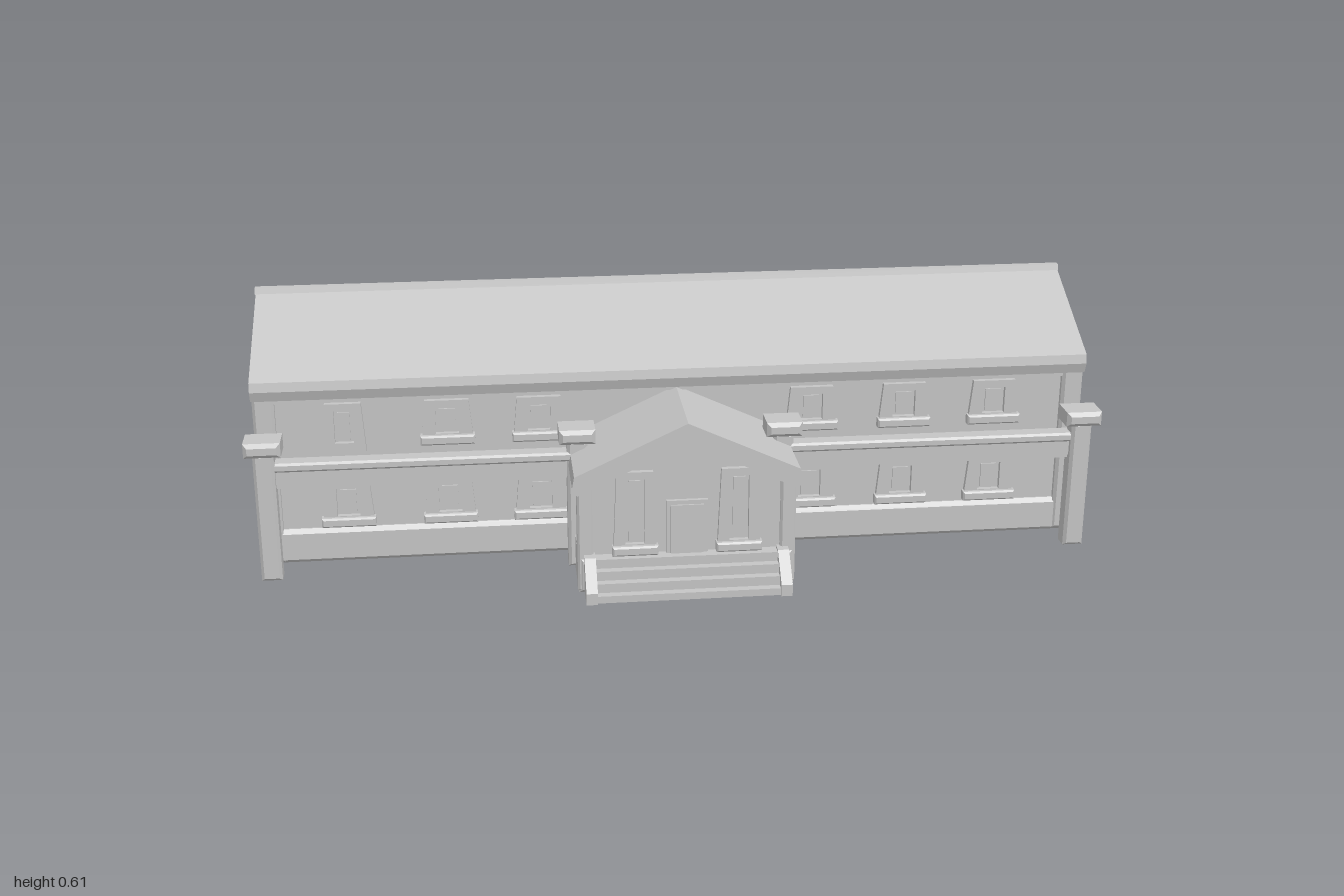
import * as THREE from 'three';

export function createModel() {
  const root = new THREE.Group();
  root.name = 'schoolhouse';
  const grey = new THREE.MeshStandardMaterial({ color: 0xc4c4c4 });
  grey.name = 'plain grey';

  const add = (name, geo, parent = root) => {
    const m = new THREE.Mesh(geo, grey);
    m.name = name;
    parent.add(m);
    return m;
  };
  // Box from its minimum and maximum corners
  const box = (name, x0, x1, y0, y1, z0, z1, parent) => {
    const g = new THREE.BoxGeometry(x1 - x0, y1 - y0, z1 - z0);
    g.translate((x0 + x1) / 2, (y0 + y1) / 2, (z0 + z1) / 2);
    return add(name, g, parent);
  };
  const outline = pts => new THREE.Shape(pts.map(p => new THREE.Vector2(p[0], p[1])));
  // Box with every edge chamfered
  const chamfer = (name, x0, x1, y0, y1, z0, z1, b, parent) => {
    const s = outline([[x0 + b, y0 + b], [x1 - b, y0 + b], [x1 - b, y1 - b], [x0 + b, y1 - b]]);
    const g = new THREE.ExtrudeGeometry(s, {
      depth: z1 - z0 - 2 * b, bevelSize: b, bevelThickness: b, bevelSegments: 1,
    });
    g.translate(0, 0, z0 + b);
    return add(name, g, parent);
  };
  // Profile in (z, y) swept along x
  const sweepX = (name, pts, x0, x1, parent) => {
    const g = new THREE.ExtrudeGeometry(outline(pts), { depth: x1 - x0, bevelEnabled: false });
    g.rotateY(-Math.PI / 2);
    g.translate(x1, 0, 0);
    return add(name, g, parent);
  };
  // Profile in (x, y) swept along z
  const sweepZ = (name, pts, z0, z1, parent) => {
    const g = new THREE.ExtrudeGeometry(outline(pts), { depth: z1 - z0, bevelEnabled: false });
    g.translate(0, 0, z0);
    return add(name, g, parent);
  };

  // Tapered surround with an opening, a pane and an optional sill; faces +z before turning
  const opening = (name, x, y, z, turn, w, h, sill = true) => {
    const o = new THREE.Group();
    o.name = name;
    const t = w * 0.42, b = w * 0.5, e = w * 0.2;
    const s = outline([[-b, 0], [b, 0], [t, h], [-t, h]]);
    s.holes.push(new THREE.Path([[-t + e, 0.022], [-t + e, h - 0.018], [t - e, h - 0.018], [t - e, 0.022]]
      .map(p => new THREE.Vector2(p[0], p[1]))));
    add('surround', new THREE.ExtrudeGeometry(s, { depth: 0.014, bevelEnabled: false }), o);
    box('pane', -t + e + 0.008, t - e - 0.008, 0.026, h - 0.024, 0, 0.006, o);
    if (sill) chamfer('sill', -b - 0.003, b + 0.003, -0.003, 0.02, 0, 0.026, 0.004, o);
    o.position.set(x, y, z);
    o.rotation.y = turn;
    root.add(o);
  };
  // Square post with a chamfered cap
  const post = (name, x, z, top, h = 0.035) => {
    const p = new THREE.Group();
    p.name = name;
    chamfer('shaft', x - 0.024, x + 0.024, 0.012, top - h + 0.004, z - 0.024, z + 0.024, 0.007, p);
    chamfer('cap', x - 0.042, x + 0.042, top - h, top, z - 0.04, z + 0.04, 0.009, p);
    root.add(p);
  };

  // Main hall: gabled walls, plinth, corner posts and wall-head trim
  sweepX('hallWalls', [[-0.215, 0.01], [0.285, 0.01], [0.285, 0.435], [0.035, 0.57], [-0.215, 0.435]], -0.97, 0.97);
  chamfer('hallPlinth', -0.982, 0.982, 0.004, 0.09, -0.228, 0.298, 0.01);
  for (const sx of [-1, 1]) {
    for (const z of [-0.207, 0.276]) {
      const x = sx * 0.961;
      chamfer('hallCornerPost', x - 0.025, x + 0.025, 0.01, 0.432, z - 0.026, z + 0.026, 0.007);
    }
  }
  box('frontHeadTrim', -0.97, 0.97, 0.41, 0.432, 0.28, 0.296);
  box('backHeadTrim', -0.97, 0.97, 0.41, 0.432, -0.226, -0.21);

  // Main roof, with a narrow ridge cap
  sweepX('mainRoof', [
    [0.303, 0.42], [0.312, 0.445], [0.308, 0.467], [0.035, 0.607], [-0.238, 0.467],
    [-0.246, 0.445], [-0.232, 0.42], [0.035, 0.56],
  ], -0.988, 0.988);
  sweepX('ridgeCap', [[0.047, 0.6], [0.043, 0.615], [0.027, 0.615], [0.023, 0.6]], -0.99, 0.99);

  // Front and back windows
  const front = [-0.78, -0.54, -0.325, 0.325, 0.55, 0.77];
  front.forEach((x, i) => {
    opening('lowerFrontWindow', x, 0.1, 0.283, 0, 0.122, 0.11);
    if (i === 0) opening('balconyDoor', x, 0.285, 0.283, 0, 0.1, 0.12, false);
    else opening('upperFrontWindow', x, 0.3, 0.283, 0, 0.122, 0.105);
  });
  for (const x of [0.77, 0.53, 0.28, -0.33, -0.56])
    opening('upperBackWindow', x, 0.3, -0.213, Math.PI, 0.118, 0.105);
  for (const x of [0.77, 0.53, 0.28, -0.265])
    opening('lowerBackWindow', x, 0.1, -0.213, Math.PI, 0.118, 0.11);

  // Balconies either side of the entrance: slab, parapet and rail
  for (const sx of [-1, 1]) {
    const a = Math.min(sx * 0.25, sx * 0.95), b = Math.max(sx * 0.25, sx * 0.95);
    box('balconySlab', a, b, 0.235, 0.262, 0.28, 0.385);
    box('balconyParapet', a, b, 0.245, 0.285, 0.368, 0.39);
    chamfer('balconyRail', a, b, 0.28, 0.302, 0.357, 0.4, 0.005);
    post('outerBalconyPost', sx * 0.957, 0.383, 0.36);
    post('innerBalconyPost', sx * 0.242, 0.375, 0.36);
  }

  // Entrance porch
  sweepZ('porchWalls', [[-0.235, 0.01], [0.235, 0.01], [0.235, 0.27], [0, 0.38], [-0.235, 0.27]], 0.27, 0.515);
  chamfer('porchPlinth', -0.25, 0.25, 0.004, 0.095, 0.27, 0.53, 0.01);
  for (const sx of [-1, 1]) {
    const x = sx * 0.234;
    chamfer('porchCornerPost', x - 0.018, x + 0.018, 0.01, 0.268, 0.488, 0.526, 0.005);
    opening('porchWindow', sx * 0.12, 0.1, 0.513, 0, 0.1, 0.2);
  }
  sweepZ('porchRoof', [
    [-0.252, 0.25], [0, 0.37], [0.252, 0.25], [0.263, 0.27], [0.258, 0.297],
    [0, 0.417], [-0.258, 0.297], [-0.263, 0.27],
  ], 0.27, 0.537);
  box('doorFrame', -0.048, 0.048, 0.095, 0.225, 0.51, 0.524);
  box('doorLeaf', -0.038, 0.038, 0.095, 0.215, 0.52, 0.528);

  // Entrance steps with sloping side walls
  for (let i = 0; i < 4; i++)
    box('entranceStep', -0.215, 0.21, 0.012, 0.095 - i * 0.022, 0.52, 0.545 + i * 0.018);
  for (const x of [-0.238, 0.208])
    sweepX('stepSideWall', [[0.5, 0.012], [0.606, 0.012], [0.606, 0.04], [0.545, 0.1], [0.5, 0.1]], x, x + 0.026);

  // Back wing: flat-roofed block, trim and capped corner posts
  box('wingWalls', -0.965, -0.35, 0.01, 0.27, -0.565, -0.2);
  chamfer('wingPlinth', -0.98, -0.337, 0.004, 0.09, -0.585, -0.2, 0.01);
  box('wingRoof', -0.978, -0.338, 0.258, 0.28, -0.582, -0.21);
  post('wingPost', -0.952, -0.565, 0.315);
  post('wingPost', -0.362, -0.565, 0.315);
  chamfer('wingInnerPost', -0.982, -0.945, 0.01, 0.265, -0.262, -0.222, 0.006);
  opening('wingBackWindow', -0.53, 0.1, -0.563, Math.PI, 0.11, 0.115);
  opening('wingBackWindow', -0.85, 0.1, -0.563, Math.PI, 0.09, 0.115);
  opening('wingSideWindow', -0.352, 0.1, -0.385, Math.PI / 2, 0.105, 0.115);
  opening('wingSideDoor', -0.352, 0.08, -0.5, Math.PI / 2, 0.08, 0.145, false);

  // Side steps down from the wing door
  for (let i = 0; i < 4; i++)
    box('sideStep', -0.35, -0.285 + i * 0.022, 0.015, 0.085 - i * 0.018, -0.565, -0.45);
  for (const z of [-0.583, -0.45])
    sweepZ('sideStepWall', [[-0.35, 0.012], [-0.213, 0.012], [-0.213, 0.038], [-0.29, 0.093], [-0.35, 0.093]], z, z + 0.018);

  return root;
}
